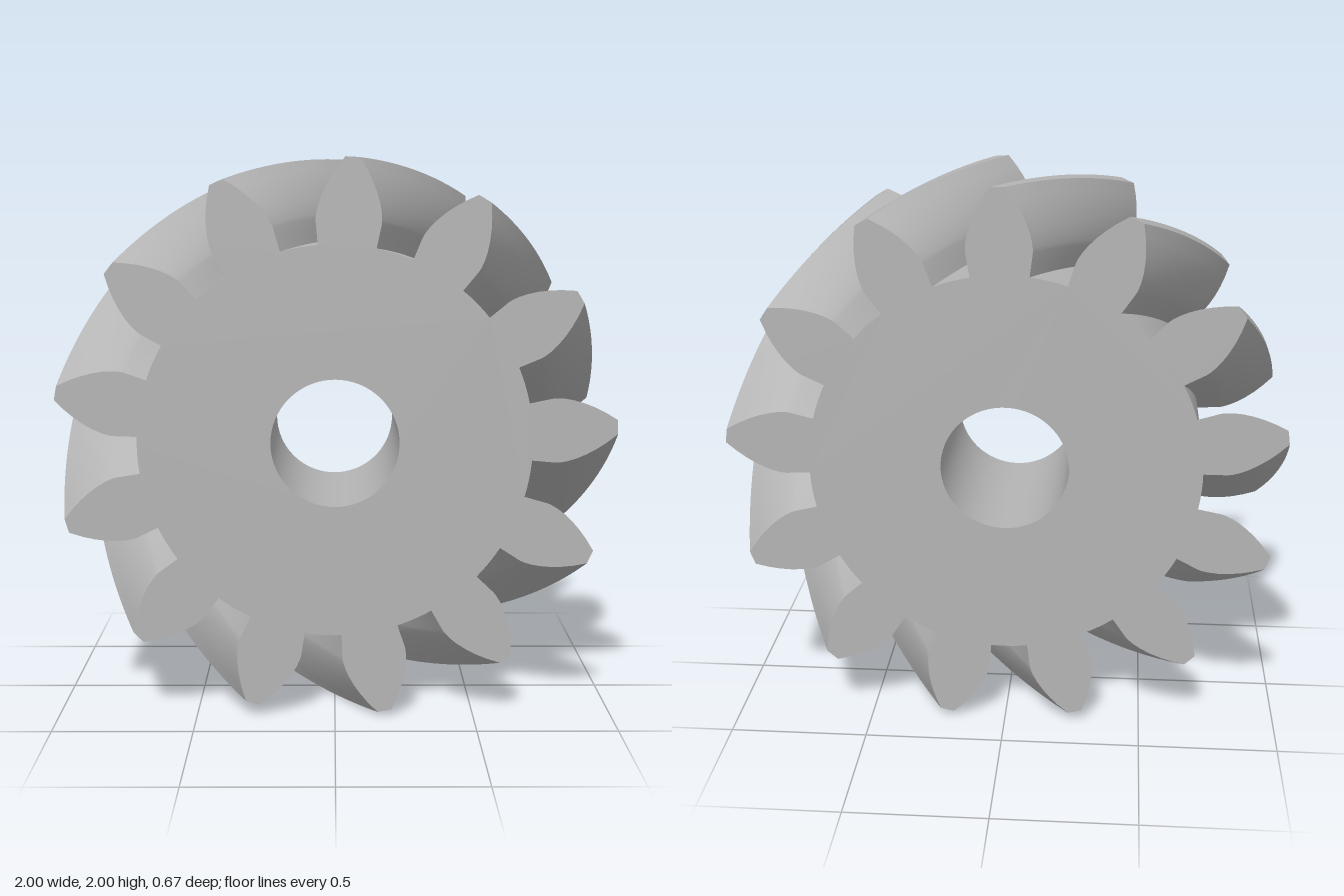
import * as THREE from 'three';
import { mergeGeometries } from 'three/addons/utils/BufferGeometryUtils.js';

const TEETH = 13, OUTER = 1, BASE = 0.785, ROOT = 0.7, BORE = 0.228, HALF = 0.333;
const PITCH = (Math.PI * 2) / TEETH;
const PHASE = THREE.MathUtils.degToRad(86.5);   // centre of the first tooth on the front face
const TWIST = THREE.MathUtils.degToRad(-25.5);  // helix turn from front to back
const BASE_HALF = THREE.MathUtils.degToRad(8.4); // half tooth angle at the base circle

const polar = (r, a) => new THREE.Vector2(r * Math.cos(a), r * Math.sin(a));

function arc(r, a0, a1, n) {
  return Array.from({ length: n + 1 }, (_, i) => polar(r, a0 + ((a1 - a0) * i) / n));
}

// Half the tooth angle at radius r: radial below the base circle, involute above it
function halfAngle(r) {
  if (r <= BASE) return BASE_HALF;
  const p = Math.acos(BASE / r);
  return BASE_HALF - (Math.tan(p) - p);
}

// Sweep a profile from front to back, turning it by twist; counter-clockwise faces outward
function sweep(profile, twist, steps) {
  const pos = [], idx = [], n = profile.length;
  for (let j = 0; j <= steps; j++) {
    const t = j / steps, c = Math.cos(twist * t), s = Math.sin(twist * t);
    for (const p of profile) pos.push(p.x * c - p.y * s, p.x * s + p.y * c, HALF - 2 * HALF * t);
  }
  for (let j = 0; j < steps; j++) for (let i = 0; i < n - 1; i++) {
    const a = j * n + i, b = a + 1, d = a + n, e = d + 1;
    idx.push(a, d, b, b, d, e);
  }
  const g = new THREE.BufferGeometry();
  g.setAttribute('position', new THREE.Float32BufferAttribute(pos, 3));
  g.setIndex(idx);
  g.computeVertexNormals();
  return g;
}

export function createModel() {
  const steel = new THREE.MeshStandardMaterial({ color: 0xb4b4b4 });
  steel.name = 'steel grey';
  const gear = new THREE.Group();
  gear.name = 'helicalGear';
  const add = (name, geometry) => {
    const m = new THREE.Mesh(geometry, steel);
    m.name = name;
    gear.add(m);
    return m;
  };

  // Tooth flanks, tips and root lands as separate strips, so their edges stay sharp
  const radii = [ROOT, 0.745, BASE, 0.8, 0.825, 0.855, 0.89, 0.925, 0.96, OUTER];
  const parts = { flanks: [], tips: [], roots: [] };
  const outline = [];
  const tipHalf = halfAngle(OUTER);
  for (let k = 0; k < TEETH; k++) {
    const a = PHASE + k * PITCH;
    const rise = radii.map((r) => polar(r, a - halfAngle(r)));
    const tip = arc(OUTER, a - tipHalf, a + tipHalf, 2);
    const fall = radii.map((r) => polar(r, a + halfAngle(r))).reverse();
    const root = arc(ROOT, a + BASE_HALF, a + PITCH - BASE_HALF, 4);
    parts.flanks.push(sweep(rise, TWIST, 24), sweep(fall, TWIST, 24));
    parts.tips.push(sweep(tip, TWIST, 24));
    parts.roots.push(sweep(root, TWIST, 24));
    for (const strip of [rise, tip, fall, root]) outline.push(...strip.slice(0, -1));
  }
  add('toothFlanks', mergeGeometries(parts.flanks));
  add('toothTips', mergeGeometries(parts.tips));
  add('rootLands', mergeGeometries(parts.roots));

  // Shaft bore, facing inward
  add('bore', sweep(arc(BORE, Math.PI * 2, 0, 64), 0, 1));

  // End faces; the back one is mirrored, flipped round and turned by the helix
  const face = (mirror) => {
    const shape = new THREE.Shape(outline.map((p) => new THREE.Vector2(p.x * mirror, p.y)));
    shape.holes.push(new THREE.Path(arc(BORE, 0, Math.PI * 2, 64).slice(0, -1)));
    return new THREE.ShapeGeometry(shape);
  };
  add('frontFace', face(1).translate(0, 0, HALF));
  add('backFace', face(-1).rotateY(Math.PI).rotateZ(TWIST).translate(0, 0, -HALF));

  gear.position.y = OUTER;
  const model = new THREE.Group();
  model.name = 'gearModel';
  model.add(gear);
  return model;
}
